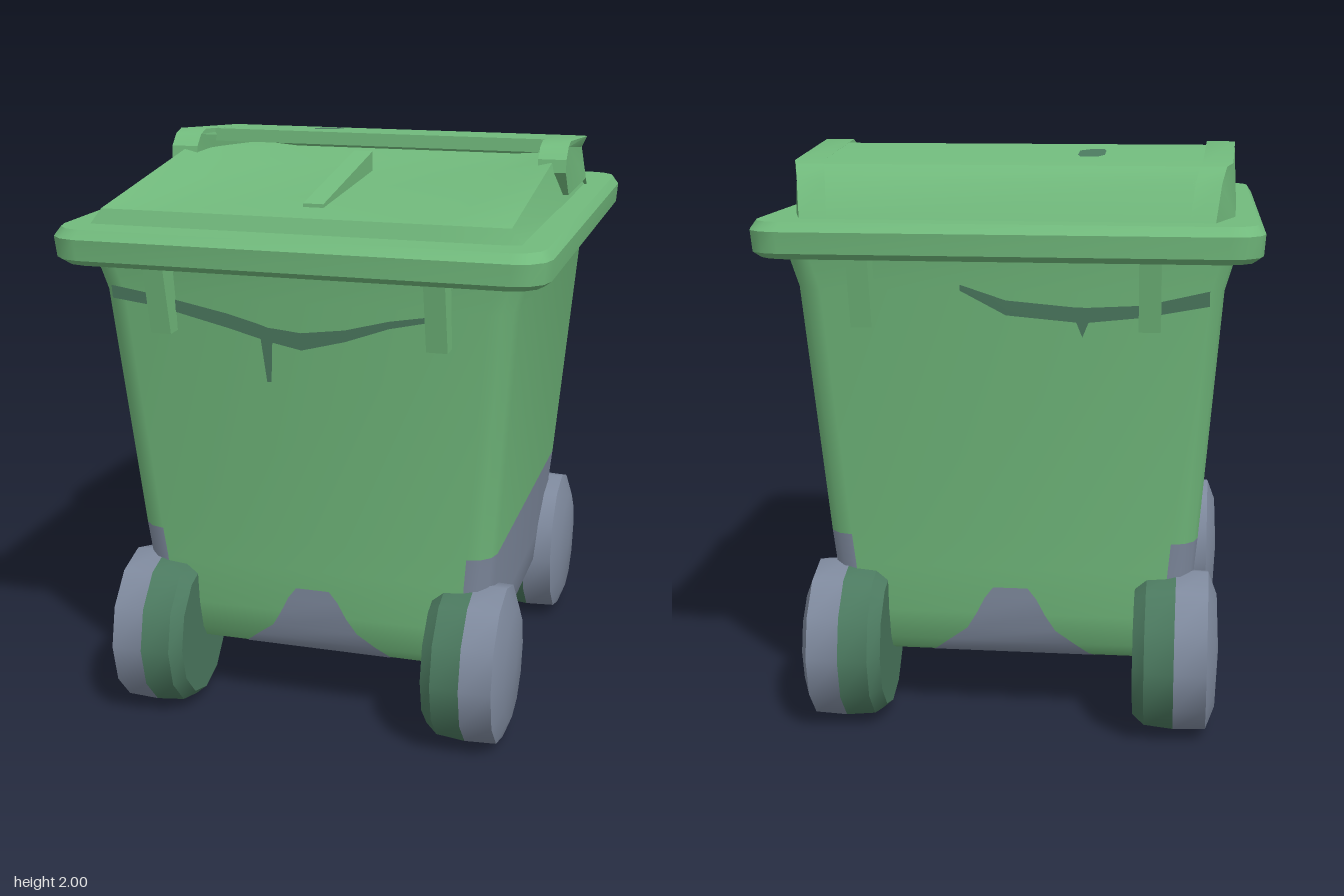
import * as THREE from 'three';
import { toCreasedNormals } from 'three/addons/utils/BufferGeometryUtils.js';

const material = (name, color, extra = {}) =>
  Object.assign(new THREE.MeshStandardMaterial({ color, ...extra }), { name });

// Surface through rows of points; pick(row, column) chooses the material slot.
function skin(rows, { closed = false, capStart = null, capEnd = null, pick = () => 0 } = {}) {
  const n = rows[0].length, slots = [[], []];
  for (let r = 0; r < rows.length - 1; r++)
    for (let i = 0; i < (closed ? n : n - 1); i++) {
      const j = (i + 1) % n, a = rows[r], b = rows[r + 1];
      slots[pick(r, i)].push(a[i], b[i], a[j], a[j], b[i], b[j]);
    }
  const cap = (row, slot, flip) => {
    for (let i = 1; i < n - 1; i++)
      slots[slot].push(row[0], row[flip ? i + 1 : i], row[flip ? i : i + 1]);
  };
  if (capStart !== null) cap(rows[0], capStart, false);
  if (capEnd !== null) cap(rows[rows.length - 1], capEnd, true);
  const g = new THREE.BufferGeometry();
  g.setAttribute('position', new THREE.Float32BufferAttribute(slots.flat(2), 3));
  g.addGroup(0, slots[0].length, 0);
  if (slots[1].length) g.addGroup(slots[0].length, slots[1].length, 1);
  return toCreasedNormals(g, 0.6);
}

// Rounded rectangle in the xz plane at height y (16 points).
function ring(y, hx, hz, radius) {
  const points = [];
  for (const [k, sx, sz] of [[0, 1, 1], [1, -1, 1], [2, -1, -1], [3, 1, -1]])
    for (let s = 0; s <= 3; s++) {
      const a = (k + s / 3) * Math.PI / 2;
      points.push([sx * (hx - radius) + radius * Math.cos(a), y,
        sz * (hz - radius) + radius * Math.sin(a)]);
    }
  return points;
}

// Side profile given as [z, y] points, extruded across x.
function slab(profile, x0, x1) {
  const shape = new THREE.Shape(profile.map(([z, y]) => new THREE.Vector2(z, y)));
  const g = new THREE.ExtrudeGeometry(shape, { depth: x1 - x0, bevelEnabled: false });
  return g.rotateY(-Math.PI / 2).translate(x1, 0, 0);
}

// Narrow the hood towards its back edge.
function taperBack(g) {
  const p = g.attributes.position;
  for (let i = 0; i < p.count; i++)
    p.setX(i, p.getX(i) * (1 - 0.4 * Math.max(0, -0.55 - p.getZ(i))));
  return toCreasedNormals(g, 0.5);
}

// Tub sections: height, half width, half depth
const tub = [[0.22, 0.45, 0.47], [0.22, 0.54, 0.53], [0.245, 0.59, 0.58], [0.29, 0.612, 0.61],
  [0.4, 0.62, 0.638], [0.57, 0.63, 0.652], [0.68, 0.64, 0.665], [1.55, 0.707, 0.752], [1.7, 0.75, 0.775]];
function tubAt(y, column) {
  let i = 1;
  while (i < tub.length - 2 && tub[i + 1][0] < y) i++;
  const t = (y - tub[i][0]) / (tub[i + 1][0] - tub[i][0]);
  return THREE.MathUtils.lerp(tub[i][column], tub[i + 1][column], t);
}

export function createModel() {
  const model = new THREE.Group();
  model.name = 'wheeledBin';
  const green = material('green', 0x72bb7d);
  const grey = material('blueGrey', 0x7f8a9e);
  const dark = material('darkGreen', 0x4c7a60, { side: THREE.DoubleSide });
  const greyPaint = grey;
  const add = (name, geometry, mat, parent = model) => {
    const mesh = new THREE.Mesh(geometry, mat);
    mesh.name = name;
    parent.add(mesh);
    return mesh;
  };

  // Tub with grey lower flanks and floor
  add('tub', skin(tub.map(([y, hx, hz]) => ring(y, hx, hz, 0.09)), {
    closed: true, capStart: 1,
    pick: (r, i) => (r >= 3 && r <= 5 && i !== 3 && i !== 11 ? 1 : 0),
  }), [green, grey]);

  // Overhanging rim
  add('rim', skin([ring(1.66, 0.8, 0.875, 0.1), ring(1.68, 0.825, 0.9, 0.11), ring(1.75, 0.83, 0.908, 0.11),
    ring(1.78, 0.81, 0.885, 0.1)], { closed: true, capStart: 0, capEnd: 0 }), [green]);

  // Sloping lid, slightly dished between its side edges
  const lidRow = (z, edge, middle) => [[-0.73, 1.77, z], [-0.69, edge, z], [-0.45, middle, z],
    [0.45, middle, z], [0.69, edge, z], [0.73, 1.77, z]];
  add('lid', skin([lidRow(-0.6, 1.9, 1.88), lidRow(0, 1.935, 1.88), lidRow(0.75, 1.83, 1.83),
    lidRow(0.77, 1.77, 1.77)]), [green]);
  add('lidFin', slab([[0.6, 1.82], [0.6, 1.852], [0, 1.95], [0, 1.84]], -0.035, 0.035), green);

  // Raised hood at the back with two side arms
  const hood = new THREE.Group();
  hood.name = 'hood';
  model.add(hood);
  add('hoodCover', taperBack(slab([[-0.17, 1.992], [-0.6, 1.957], [-0.67, 1.95], [-0.72, 1.9],
    [-0.78, 1.775], [-0.71, 1.775], [-0.62, 1.9], [-0.17, 1.945]], -0.65, 0.65)), green, hood);
  const arm = [[0.015, 1.9], [0.01, 1.945], [-0.03, 1.985], [-0.08, 2], [-0.6, 1.957], [-0.67, 1.95],
    [-0.72, 1.9], [-0.78, 1.775], [-0.56, 1.775], [-0.5, 1.81], [-0.07, 1.81]];
  add('leftHoodArm', taperBack(slab(arm, 0.64, 0.74)), green, hood);
  add('rightHoodArm', taperBack(slab(arm, -0.74, -0.64)), green, hood);
  add('hoodMark', skin([[-0.5, -0.28, -0.22], [-0.46, -0.3, -0.21], [-0.36, -0.3, -0.21], [-0.32, -0.29, -0.25]]
    .map(([z, a, b]) => [a, b].map(x => [x, 1.992 + (z + 0.17) * 0.0814 + 0.004, z]))), dark, hood);

  // Hanging brackets under the rim, front and back
  for (const end of [1, -1])
    for (const x of [-0.47, 0.47]) {
      const bracket = add('bracket',
        slab([[0.7, 1.43], [0.8, 1.43], [0.855, 1.67], [0.7, 1.67]], x - 0.035, x + 0.035), green);
      if (end < 0) bracket.rotation.y = Math.PI;
    }

  // Bell-shaped grey marks low on the front and back
  const bell = [[0.222, 0.29], [0.245, 0.27], [0.29, 0.22], [0.34, 0.155], [0.4, 0.12], [0.46, 0.09], [0.5, 0.06]];
  for (const end of [1, -1]) {
    const rows = bell.map(([y, w]) => [w, -w].map(x => [x, y, tubAt(y, 2) + 0.005]));
    const mark = add('lowerMark', skin(rows), greyPaint);
    if (end < 0) mark.rotation.y = Math.PI;
  }
  // Grey floor strip joining the two marks
  const strip = add('floorStrip', new THREE.BoxGeometry(0.72, 0.008, 1.02), grey);
  strip.position.y = 0.219;

  // Dark streaks below the rim: x, upper and lower height
  const streak = (name, list, end) => add(name, skin([1, 2].map(k =>
    list.map(p => [p[0], p[k], end * (tubAt(p[k], 2) + 0.005)]))), dark);
  streak('frontStreak', [[-0.66, 1.575, 1.53], [-0.5, 1.55, 1.51], [-0.25, 1.5, 1.45], [-0.14, 1.47, 1.42],
    [-0.125, 1.465, 1.27], [-0.11, 1.46, 1.27], [-0.1, 1.46, 1.41], [0, 1.45, 1.39], [0.15, 1.47, 1.43],
    [0.3, 1.51, 1.485], [0.5, 1.545, 1.53]], 1);
  streak('backStreak', [[-0.66, 1.56, 1.51], [-0.45, 1.51, 1.47], [-0.27, 1.5, 1.45], [-0.25, 1.5, 1.4],
    [-0.23, 1.5, 1.45], [0, 1.52, 1.47], [0.15, 1.57, 1.55]], -1);
  for (const side of [1, -1])
    add('sideStreak', skin([1.615, 1.6].map(y =>
      [0.23, -0.52].map(z => [side * (tubAt(y, 1) + 0.004), y, z]))), dark);

  // Four wheels: dark inner half, grey outer half
  const wheelPart = profile => toCreasedNormals(
    new THREE.LatheGeometry(profile.map(([r, x]) => new THREE.Vector2(r, x)), 12).rotateZ(-Math.PI / 2), 0.6);
  const inner = wheelPart([[0, 0.43], [0.24, 0.43], [0.275, 0.47], [0.285, 0.57]]);
  const outer = wheelPart([[0.285, 0.57], [0.28, 0.68], [0.2, 0.71], [0, 0.72]]);
  for (const side of [1, -1])
    for (const z of [0.6, -0.6]) {
      const wheel = new THREE.Group();
      wheel.name = `${z > 0 ? 'front' : 'back'}${side > 0 ? 'Left' : 'Right'}Wheel`;
      wheel.position.set(0, 0.285, z);
      wheel.scale.z = 0.9;
      if (side < 0) wheel.rotation.y = Math.PI;
      add('innerTyre', inner, dark, wheel);
      add('outerTyre', outer, grey, wheel);
      model.add(wheel);
    }
  return model;
}
